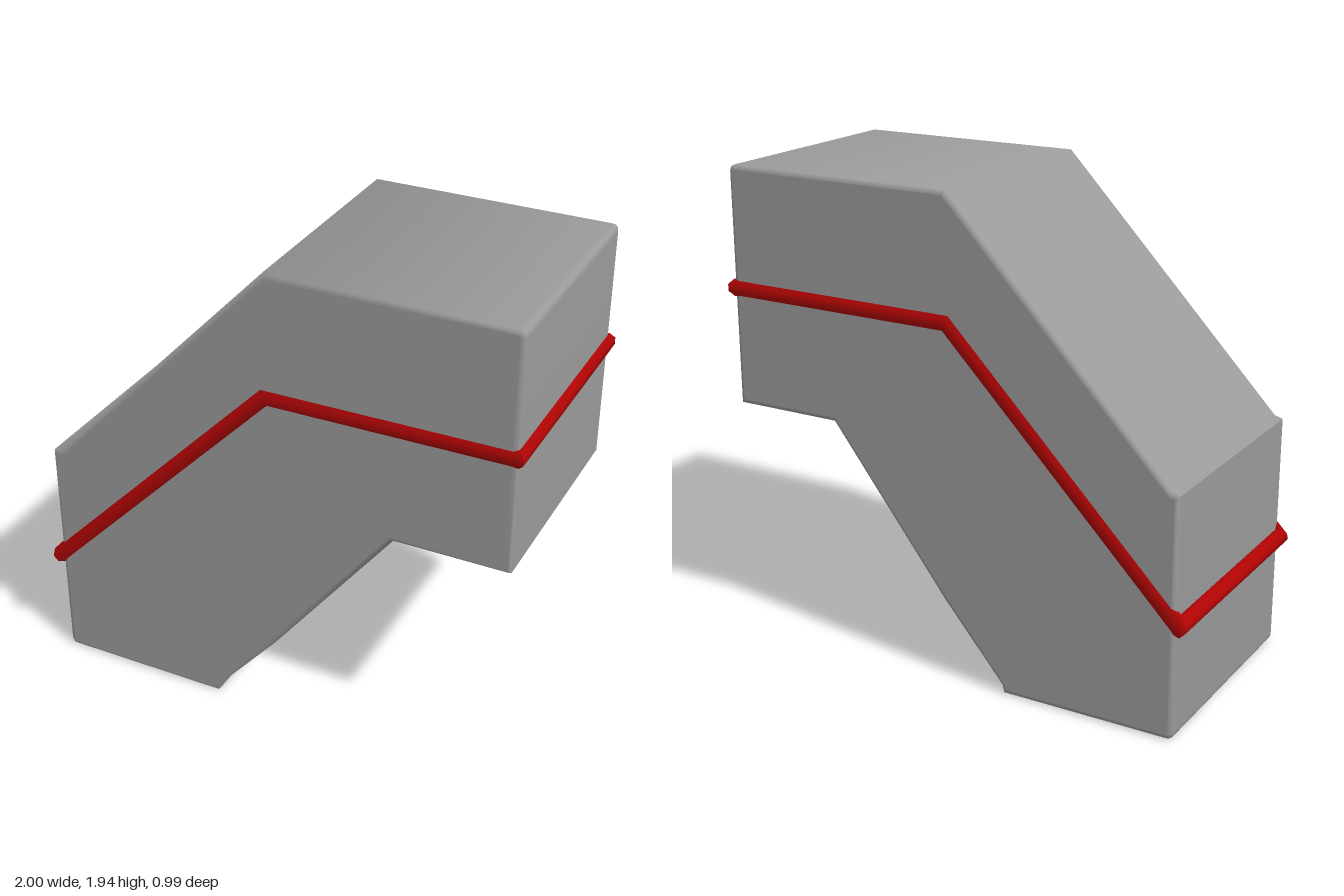
import * as THREE from 'three';
import { toCreasedNormals } from 'three/addons/utils/BufferGeometryUtils.js';

// Closed outline from [x, y, cornerRadius] points
function roundedOutline(points) {
  const shape = new THREE.Shape();
  points.forEach(([x, y, r], i) => {
    const p = new THREE.Vector2(x, y);
    const toward = (q) => new THREE.Vector2(q[0], q[1]).sub(p).setLength(r).add(p);
    const a = toward(points[(i + points.length - 1) % points.length]);
    const b = toward(points[(i + 1) % points.length]);
    if (i === 0) shape.moveTo(a.x, a.y);
    else shape.lineTo(a.x, a.y);
    if (r > 0) shape.quadraticCurveTo(x, y, b.x, b.y);
  });
  shape.closePath();
  return shape;
}

// Smooth across the bends, but keep the two sides flat and the walls even across the depth
function smoothBends(source, angle) {
  const geometry = toCreasedNormals(source, angle);
  const pos = geometry.attributes.position, nor = geometry.attributes.normal;
  const tri = new THREE.Triangle(), face = new THREE.Vector3(), n = new THREE.Vector3();
  for (let i = 0; i < pos.count; i += 3) {
    tri.setFromAttributeAndIndices(pos, i, i + 1, i + 2);
    tri.getNormal(face);
    const isSide = Math.abs(face.z) > 0.999, isWall = Math.abs(face.z) < 0.001;
    for (let k = i; k < i + 3; k++) {
      n.fromBufferAttribute(nor, k);
      if (isSide) n.copy(face);
      if (isWall) n.setZ(0).normalize();
      nor.setXYZ(k, n.x, n.y, n.z);
    }
  }
  return geometry;
}

// Flattened cord running as a mitred closed loop around the body
function cordGeometry(path, halfDepth, r, flatten, sides) {
  const last = path.length - 1;
  const dirs = path.slice(1).map((p, i) => p.clone().sub(path[i]).normalize());
  const normal = (d) => new THREE.Vector3(-d.y, d.x, 0);
  const stations = [];
  for (const s of [1, -1]) {
    const half = path.map((p, i) => {
      const before = dirs[Math.max(i - 1, 0)], after = dirs[Math.min(i, last - 1)];
      const n0 = normal(before), u = n0.clone().add(normal(after)).normalize();
      u.divideScalar(u.dot(n0));
      const w = new THREE.Vector3(0, 0, s * flatten);
      if (i === 0) w.sub(after);
      if (i === last) w.add(before);
      return { c: new THREE.Vector3(p.x, p.y, s * halfDepth), u, w };
    });
    stations.push(...(s > 0 ? half : half.reverse()));
  }
  const pos = [];
  const corner = (i, j) => {
    const { c, u, w } = stations[i % stations.length];
    const t = ((j + 0.5) / sides) * Math.PI * 2;
    return c.clone().addScaledVector(u, r * Math.cos(t)).addScaledVector(w, r * Math.sin(t));
  };
  for (let i = 0; i < stations.length; i++) {
    for (let j = 0; j < sides; j++) {
      const a = corner(i, j), b = corner(i + 1, j), c = corner(i + 1, j + 1), d = corner(i, j + 1);
      for (const v of [a, d, b, b, d, c]) pos.push(v.x, v.y, v.z);
    }
  }
  const geometry = new THREE.BufferGeometry();
  geometry.setAttribute('position', new THREE.Float32BufferAttribute(pos, 3));
  return toCreasedNormals(geometry, 0.85);
}

export function createModel() {
  const group = new THREE.Group();

  // Bent block with softened edges and small steps where the slopes meet the lower end
  const bevel = 0.02, depth = 0.97;
  const outline = roundedOutline([
    [-0.96, 0.005, 0.03], [-0.242, 0.005, 0], [-0.235, 0.037, 0], [0.02, 0.335, 0],
    [0.52, 0.98, 0], [0.977, 0.98, 0], [0.977, 1.945, 0.03], [0, 1.945, 0],
    [-0.925, 0.977, 0], [-0.96, 0.967, 0],
  ]);
  const bodyGeometry = new THREE.ExtrudeGeometry(outline, {
    depth: depth - 2 * bevel, bevelEnabled: true, bevelSize: bevel, bevelThickness: bevel,
    bevelOffset: -bevel, bevelSegments: 3, curveSegments: 6,
  });
  bodyGeometry.translate(0, 0, bevel - depth / 2);
  const body = new THREE.Mesh(
    smoothBends(bodyGeometry, 1.0),
    new THREE.MeshStandardMaterial({ color: 0x9a9a9a })
  );
  body.name = 'body';
  group.add(body);

  // Red cord following the bend on both sides and across both ends
  const path = [[-0.966, 0.467], [0, 1.453], [0.965, 1.458]].map(([x, y]) => new THREE.Vector3(x, y, 0));
  const cord = new THREE.Mesh(
    cordGeometry(path, 0.473, 0.037, 0.65, 8),
    new THREE.MeshStandardMaterial({ color: 0xb00404 })
  );
  cord.name = 'trimCord';
  group.add(cord);

  return group;
}
